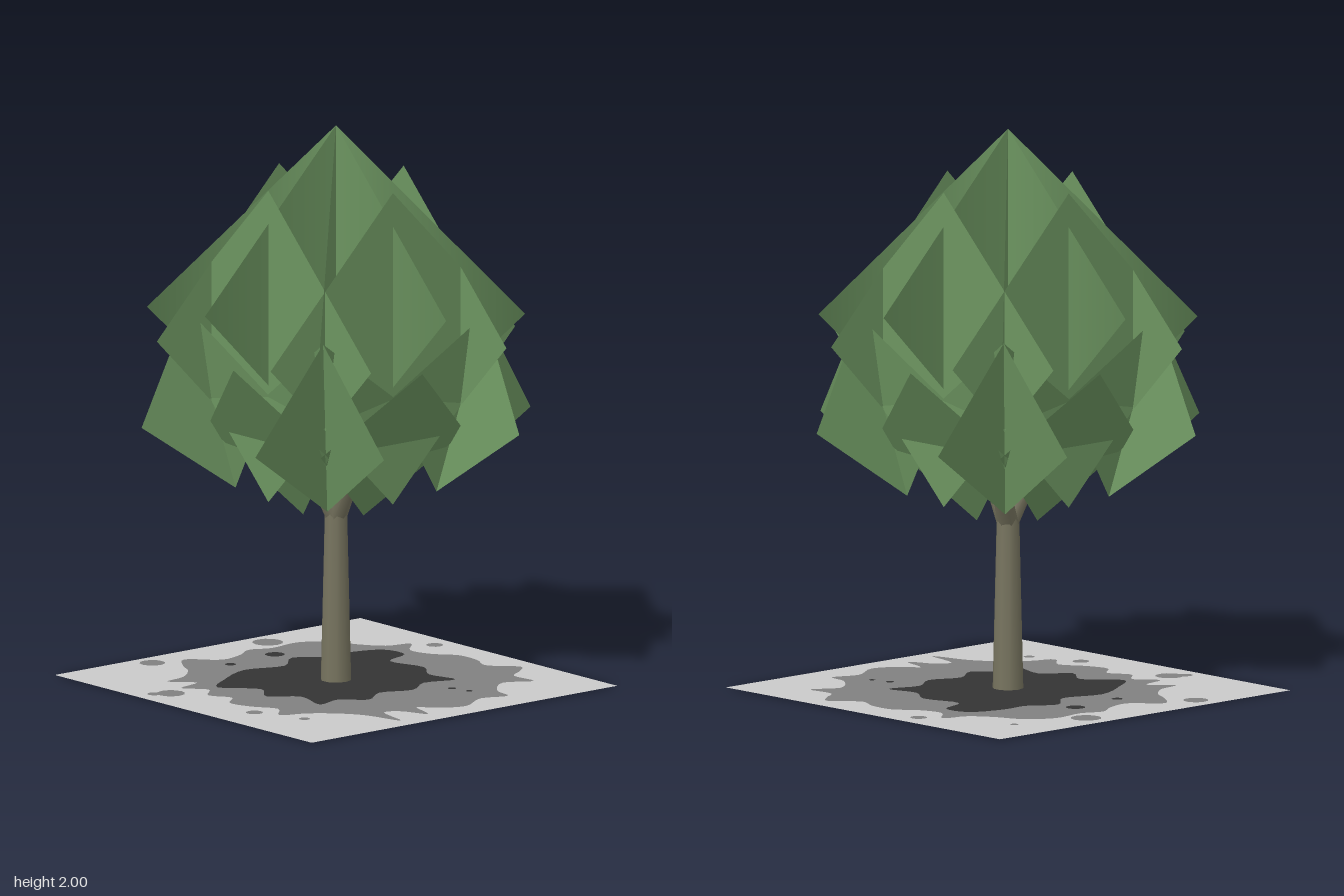
import * as THREE from 'three';

const makeMaterial = (name, color) => {
  const m = new THREE.MeshStandardMaterial({ color, side: THREE.DoubleSide });
  m.name = name;
  return m;
};

// Square card standing on one corner: half-diagonals given along "up" and "side"
function cardGeometry(center, up, side) {
  const corner = (dir, s) => center.clone().addScaledVector(dir, s);
  const g = new THREE.BufferGeometry().setFromPoints([
    corner(up, 1), corner(side, -1), corner(up, -1), corner(side, 1),
  ]);
  g.setIndex([0, 1, 2, 0, 2, 3]);
  g.computeVertexNormals();
  return g;
}

// Half card hanging on the tree's axis, with its normals fanning outwards
function finGeometry(angle, reach) {
  const c = Math.cos(angle), s = Math.sin(angle);
  const g = new THREE.BufferGeometry().setFromPoints([
    new THREE.Vector3(0, 2, 0),
    new THREE.Vector3(0, 2 - 2 * reach, 0),
    new THREE.Vector3(c * reach, 2 - reach, s * reach),
  ]);
  g.computeVertexNormals();
  const n = new THREE.Vector3(g.attributes.normal.getX(2), 0, g.attributes.normal.getZ(2));
  n.multiplyScalar(0.4).add(new THREE.Vector3(c, 0, s)).normalize();
  g.attributes.normal.setXYZ(2, n.x, n.y, n.z);
  return g;
}

// Flat blob on the ground from x, z pairs
function blobGeometry(coords, islands) {
  const points = [];
  for (let i = 0; i < coords.length; i += 2) {
    points.push(new THREE.Vector3(coords[i], -coords[i + 1], 0));
  }
  const curve = new THREE.CatmullRomCurve3(points, true);
  const outline = curve.getPoints(points.length * 4).slice(0, -1);
  const shapes = [new THREE.Shape(outline.map((p) => new THREE.Vector2(p.x, p.y)))];
  for (const [x, z, r] of islands) {
    shapes.push(new THREE.Shape().absarc(x, -z, r, 0, Math.PI * 2));
  }
  return new THREE.ShapeGeometry(shapes, 6).rotateX(-Math.PI / 2);
}

const OUTER_BLOB = [
  -0.27, -0.51, -0.2, -0.59, -0.1, -0.5, 0, -0.52, 0.07, -0.56, 0.15, -0.53, 0.28, -0.54,
  0.38, -0.47, 0.42, -0.38, 0.48, -0.3, 0.57, -0.27, 0.5, -0.19, 0.52, -0.1, 0.58, -0.02,
  0.58, 0.08, 0.55, 0.16, 0.63, 0.26, 0.58, 0.31, 0.52, 0.35, 0.52, 0.46, 0.42, 0.41,
  0.32, 0.5, 0.3, 0.58, 0.2, 0.55, 0.08, 0.61, -0.02, 0.56, -0.06, 0.51, -0.1, 0.62,
  -0.15, 0.52, -0.2, 0.5, -0.24, 0.64, -0.28, 0.5, -0.33, 0.42, -0.42, 0.34, -0.51, 0.3,
  -0.45, 0.22, -0.5, 0.13, -0.52, 0.04, -0.46, -0.02, -0.5, -0.1, -0.44, -0.17,
  -0.5, -0.25, -0.4, -0.28, -0.47, -0.36, -0.38, -0.38, -0.3, -0.45,
];
const INNER_BLOB = [
  -0.4, -0.17, -0.3, -0.25, -0.15, -0.32, 0, -0.28, 0.1, -0.36, 0.2, -0.3, 0.3, -0.3,
  0.43, -0.25, 0.44, -0.15, 0.33, -0.1, 0.36, 0.05, 0.3, 0.15, 0.32, 0.27, 0.2, 0.24,
  0.1, 0.3, -0.02, 0.26, -0.12, 0.32, -0.2, 0.25, -0.3, 0.27, -0.27, 0.13, -0.36, 0.05,
  -0.3, -0.05,
];

export function createModel() {
  const tree = new THREE.Group();
  tree.name = 'tree';
  const leaf = makeMaterial('leafGreen', 0x6d9661);
  const bark = makeMaterial('bark', 0x77745f);
  const pale = makeMaterial('paleGround', 0xcacaca);
  const mid = makeMaterial('midGround', 0x808080);
  const dark = makeMaterial('darkGround', 0x343434);
  const V = (x, y, z) => new THREE.Vector3(x, y, z);
  const add = (name, geometry, material, parent = tree) => {
    const mesh = new THREE.Mesh(geometry, material);
    mesh.name = name;
    parent.add(mesh);
    return mesh;
  };

  // Ground plate with painted patches on both faces
  add('ground', new THREE.PlaneGeometry(1.4, 1.4).rotateX(-Math.PI / 2), pale).position.y = 0.004;
  const outer = blobGeometry(OUTER_BLOB, [
    [-0.32, -0.62, 0.045], [-0.58, -0.21, 0.05], [-0.63, -0.24, 0.025], [0.2, -0.61, 0.055],
    [0.47, -0.53, 0.015], [0.62, -0.2, 0.03], [-0.55, 0.21, 0.03], [-0.48, 0.4, 0.02],
  ]);
  const inner = blobGeometry(INNER_BLOB, [
    [0.09, -0.44, 0.035], [0.22, 0.37, 0.015], [0.24, 0.44, 0.012], [-0.13, -0.42, 0.02],
  ]);
  for (const side of [-1, 1]) {
    add('outerPatch', outer, mid).position.y = 0.004 + side * 0.002;
    add('innerPatch', inner, dark).position.y = 0.004 + side * 0.004;
  }

  // Trunk and three tapering branches
  add('trunk', new THREE.CylinderGeometry(0.04, 0.055, 0.63, 10), bark).position.y = 0.315;
  const start = V(0, 0.6, 0);
  for (const end of [V(0, 1.1, 0.28), V(0.29, 1.15, -0.17), V(-0.22, 1.08, -0.12)]) {
    const dir = end.clone().sub(start);
    const branch = add('branch', new THREE.CylinderGeometry(0.006, 0.04, dir.length(), 7), bark);
    branch.position.copy(start).addScaledVector(dir, 0.5);
    branch.quaternion.setFromUnitVectors(V(0, 1, 0), dir.normalize());
  }

  // Crown: eight fins meeting at the tip, the diagonal ones longer
  const crown = new THREE.Group();
  crown.name = 'crown';
  tree.add(crown);
  for (let i = 0; i < 8; i++) {
    add('crownFin', finGeometry((i * Math.PI) / 4, i % 2 ? 0.665 : 0.6), leaf, crown);
  }

  // Foliage repeated on the four sides
  const sideCard = cardGeometry(V(0, 1.25, 0.31), V(0, 0.56, 0), V(0.56, 0, 0));
  const lowCard = cardGeometry(V(0, 0.905, 0.31), V(0, 0.282, 0.16), V(0.33, 0, 0));
  const cornerAxis = V(0.06, 0.32, 0.06);
  const cornerCenter = V(0.31, 1.01, 0.31);
  const cornerCards = [V(0.32, -0.06, 0), V(0, -0.06, 0.32)]
    .map((side) => cardGeometry(cornerCenter, cornerAxis, side));
  for (let i = 0; i < 4; i++) {
    const quarter = new THREE.Group();
    quarter.name = 'foliageQuarter';
    quarter.rotation.y = (i * Math.PI) / 2;
    tree.add(quarter);
    add('sideLeafCard', sideCard, leaf, quarter);
    add('lowLeafCard', lowCard, leaf, quarter);
    for (const g of cornerCards) add('cornerLeafCard', g, leaf, quarter);
  }
  return tree;
}
